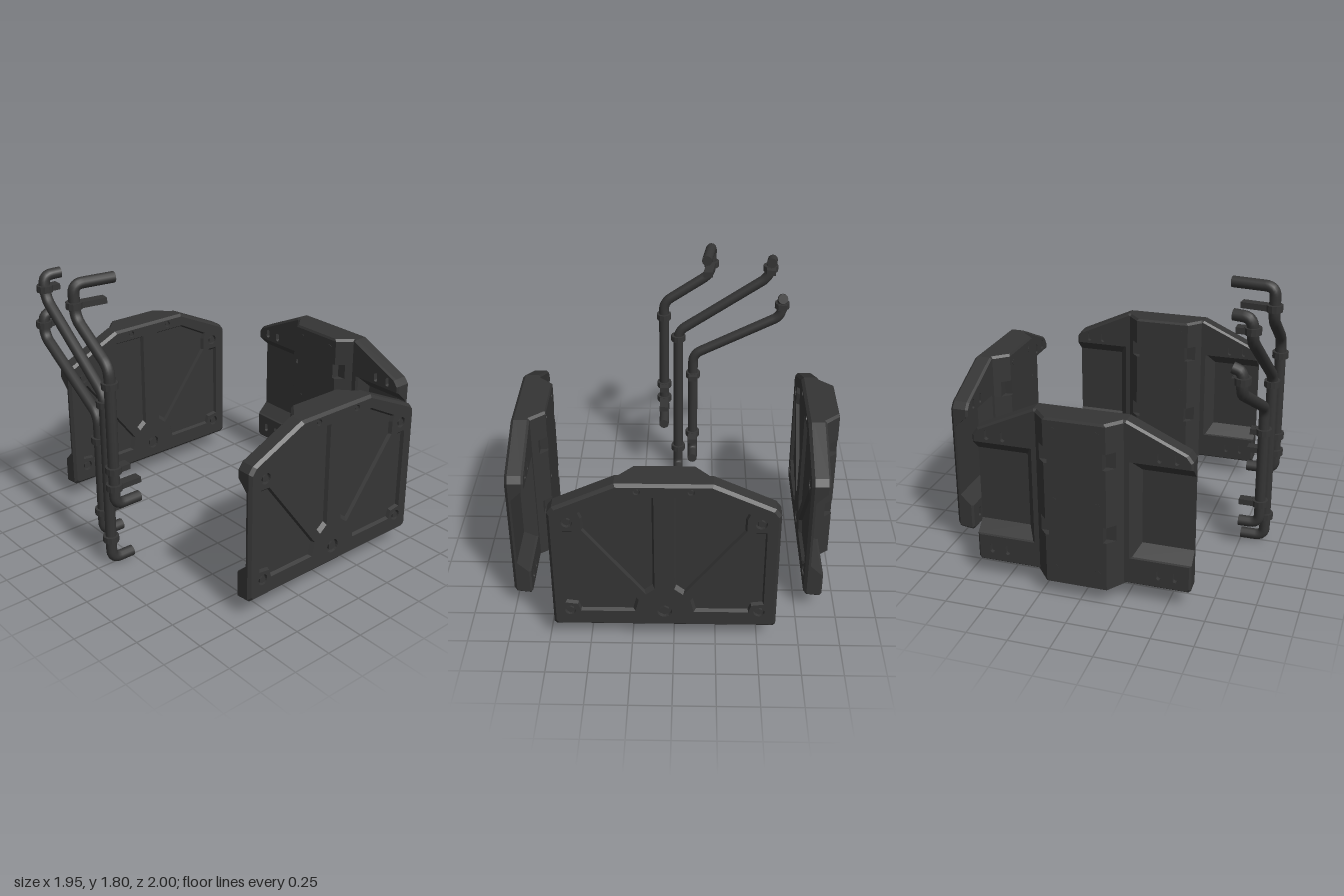
import * as THREE from 'three';
import { mergeGeometries } from 'three/addons/utils/BufferGeometryUtils.js';

const material = new THREE.MeshStandardMaterial({ color: 0x353535 });
const v2 = (x, y) => new THREE.Vector2(x, y);
const FACE = 0, MID = -0.032, BACK = -0.113, HUMP = -0.2, SIDE = 0.663;

function mesh(name, geometry, parent) {
  const m = new THREE.Mesh(geometry, material);
  m.name = name;
  parent.add(m);
  return m;
}

function fromTriangles(positions) {
  const g = new THREE.BufferGeometry();
  g.setAttribute('position', new THREE.Float32BufferAttribute(positions, 3));
  return g;
}

// Joins closed rings of [x, y, z] points into a skin
function skin(rings) {
  const p = [];
  for (let r = 0; r + 1 < rings.length; r++) {
    const a = rings[r], b = rings[r + 1], n = a.length;
    for (let i = 0; i < n; i++) {
      const j = (i + 1) % n;
      p.push(...a[i], ...a[j], ...b[j], ...a[i], ...b[j], ...b[i]);
    }
  }
  return fromTriangles(p);
}

// Flat cap in the xy plane; a back cap is turned round (outlines are symmetric in x)
function cap(points, z, holes = [], back = false) {
  const s = new THREE.Shape(points);
  s.holes = holes.map(h => new THREE.Path(h));
  const g = new THREE.ShapeGeometry(s);
  if (back) g.rotateY(Math.PI);
  return g.translate(0, 0, z);
}

function faceted(parts) {
  const g = mergeGeometries(parts.map(part => {
    const q = part.index ? part.toNonIndexed() : part;
    q.deleteAttribute('uv');
    q.deleteAttribute('normal');
    return q;
  }));
  g.computeVertexNormals();
  return g;
}

const at = (points, z) => points.map(p => [p.x, p.y, z]);
const clockwise = pts => THREE.ShapeUtils.isClockWise(pts) ? pts : [...pts].reverse();
const bottomAt = w => 0.125 + w * 0.125;

// Shield outline at depth w, optionally inset and notched by the side pockets
function outline(w, inset = 0, notched = false) {
  const b = bottomAt(w), t = (w - MID) / (BACK - MID);
  const half = [[SIDE - 0.015, b], [SIDE, b + 0.015]];
  if (notched) {
    const lo = 0.356 - 0.08 * t, hi = 0.827 + 0.08 * t, u = 0.35 - 0.05 * t;
    half.push([SIDE, lo], [u, lo], [u, hi], [SIDE, hi]);
  }
  half.push([SIDE, 0.945], [0.633, 0.985], [0.277, 1.15]);
  const right = half.map(([x, y]) => v2(x * (1 - inset / 0.66), 0.63 + (y - 0.63) * (1 - inset / 0.52)));
  return [...right, ...right.map(p => v2(-p.x, p.y)).reverse()];
}

function scaled(points, k) {
  const c = points.reduce((s, p) => s.add(p), v2(0, 0)).divideScalar(points.length);
  return points.map(p => p.clone().sub(c).multiplyScalar(k).add(c));
}

// Round hole, drawn out in height by stretch on each side
function roundHole(x, y, r, stretch = 0) {
  const pts = [];
  for (let i = 0; i < 16; i++) {
    const a = (i + 0.5) / 16 * Math.PI * 2;
    pts.push(v2(x + r * Math.cos(a), y + r * Math.sin(a) + Math.sign(Math.sin(a)) * stretch));
  }
  return clockwise(pts);
}

// Bolts of the front face: x, y, hole radius
const faceBolts = [[0, 0.24, 0.045]];
for (const s of [1, -1]) faceBolts.push([s * 0.55, 0.89, 0.034], [s * 0.56, 0.24, 0.034], [s * 0.152, 1.105, 0.02]);

// Front plate with four sunken fields between the ribs, and bolt holes
function frontPlate() {
  const upper = [[-0.487, 0.958], [-0.277, 1.068], [-0.058, 1.068], [-0.058, 0.408], [-0.11, 0.366], [-0.47, 0.838], [-0.472, 0.92]];
  const lower = [[-0.586, 0.827], [-0.524, 0.827], [-0.152, 0.325], [-0.173, 0.236], [-0.497, 0.236], [-0.513, 0.288], [-0.586, 0.298]];
  const fields = faceBolts.map(([x, y, r]) => roundHole(x, y, r));
  for (const s of [1, -1]) for (const f of [upper, lower]) fields.push(clockwise(f.map(([x, y]) => v2(s * x, y))));
  const front = outline(FACE, 0.016);
  const parts = [
    skin([at(outline(MID), MID), at(outline(-0.018), -0.018), at(front, FACE)]),
    cap(front, FACE, fields), cap(outline(MID), MID, [], true)
  ];
  for (const f of fields) {
    const floor = scaled(f, 0.95);
    parts.push(skin([at(floor, -0.022), at(f, FACE)]), cap(floor, -0.022));
  }
  return faceted(parts);
}

// Rear block with open side pockets and small slots
function rearBlock() {
  const slots = [];
  for (const s of [1, -1]) for (const x of [0.47, 0.57]) for (const y of [0.2, 0.95]) slots.push(roundHole(s * x, y, 0.014, 0.018));
  const rear = outline(BACK, 0.012, true);
  const parts = [
    skin([at(rear, BACK), at(outline(-0.1, 0, true), -0.1), at(outline(MID, 0, true), MID)]),
    cap(rear, BACK, slots, true)
  ];
  for (const s of slots) {
    parts.push(skin([at(s, BACK), at(s, -0.085)]));
    parts.push(cap(s.map(p => v2(-p.x, p.y)), -0.085, [], true));
  }
  return faceted(parts);
}

// Central hump, with square notches cut in its sloping edges
function hump() {
  const section = (y, notched, k = 1) => {
    const half = [[0.275, -0.1], [0.23, -0.15], notched ? [0.17, -0.15] : [0.185, HUMP], [0.165, HUMP]];
    const all = [...half, ...half.map(([x, z]) => [-x, z]).reverse()];
    return all.map(([x, z]) => [x * k, y ?? bottomAt(z), -0.1 + (z + 0.1) * k]);
  };
  const rings = [section(null, false)];
  for (const [lo, hi] of [[0.41, 0.51], [0.87, 0.97]])
    rings.push(section(lo, false), section(lo, true), section(hi, true), section(hi, false));
  rings.push(section(1.135, false), section(1.15, false, 0.93));
  const caps = [], low = rings[0], top = rings[rings.length - 1];
  for (let i = 1; i < top.length - 1; i++)
    caps.push(...top[0], ...top[i], ...top[i + 1], ...low[0], ...low[i + 1], ...low[i]);
  return faceted([skin(rings), fromTriangles(caps)]);
}

function createPanel() {
  const panel = new THREE.Group();
  panel.name = 'armourPanel';
  mesh('frontPlate', frontPlate(), panel);
  mesh('rearBlock', rearBlock(), panel);
  mesh('hump', hump(), panel);
  const bolt = (x, y, r, z, sides) => {
    const g = new THREE.CylinderGeometry(r, r, 0.016, sides).rotateX(Math.PI / 2);
    mesh('bolt', faceted([g]), panel).position.set(x, y, z);
  };
  for (const [x, y, r] of faceBolts) bolt(x, y, r * 0.66, -0.011, 6);
  for (const s of [1, -1]) for (const y of [0.2, 0.64, 1.08]) bolt(s * 0.13, y, 0.018, HUMP + 0.006, 10);
  return panel;
}

// Pipe through straight runs with rounded elbows and closed ends
function createPipe(points, radius = 0.034, bend = 0.06) {
  const p = points.map(a => new THREE.Vector3(...a));
  const path = new THREE.CurvePath();
  let from = p[0];
  for (let i = 1; i < p.length - 1; i++) {
    const towards = q => p[i].clone().add(q.clone().sub(p[i]).setLength(Math.min(bend, p[i].distanceTo(q) * 0.48)));
    const a = towards(p[i - 1]), b = towards(p[i + 1]);
    path.add(new THREE.LineCurve3(from, a));
    path.add(new THREE.QuadraticBezierCurve3(a, p[i], b));
    from = b;
  }
  path.add(new THREE.LineCurve3(from, p[p.length - 1]));
  const pipe = new THREE.Group();
  pipe.name = 'pipe';
  mesh('tube', new THREE.TubeGeometry(path, 120, radius, 12), pipe);
  for (const [end, next] of [[p[0], p[1]], [p[p.length - 1], p[p.length - 2]]]) {
    const c = mesh('pipeEnd', new THREE.CircleGeometry(radius, 12), pipe);
    c.position.copy(end);
    c.lookAt(end.clone().multiplyScalar(2).sub(next));
  }
  return pipe;
}

// Clamp ring, with an optional flat arm of a given length, turned by yaw
function createClamp(x, y, z, arm = 0, yaw = 0) {
  const clamp = new THREE.Group();
  clamp.name = 'clamp';
  mesh('clampRing', faceted([new THREE.CylinderGeometry(0.05, 0.05, 0.04, 12)]), clamp);
  if (arm) mesh('clampArm', new THREE.BoxGeometry(arm, 0.036, 0.06), clamp).position.x = arm / 2;
  clamp.position.set(x, y, z);
  clamp.rotation.y = yaw;
  return clamp;
}

export function createModel() {
  const model = new THREE.Group();
  model.name = 'panelAndPipeKit';

  // Three identical panels: front and back both face forward, the third faces left
  for (const [x, z, turn] of [[0.021, 1, 0], [0.021, -0.8, 0], [0.972, 0.055, Math.PI / 2]]) {
    const panel = createPanel();
    panel.position.set(x, 0, z);
    panel.rotation.y = turn;
    model.add(panel);
  }

  // Three bent pipes on the right
  const pipes = [
    [[-0.75, 0.477, 0.105], [-0.924, 0.477, 0.105], [-0.924, 1.36, 0.105], [-0.925, 1.575, -0.215], [-0.928, 1.775, -0.22], [-0.67, 1.775, -0.185]],
    [[-0.75, 0.04, 0.005], [-0.9, 0.04, 0.005], [-0.9, 1.15, 0.005], [-0.88, 1.575, -0.61], [-0.88, 1.715, -0.63], [-0.77, 1.72, -0.615]],
    [[-0.75, 0.185, -0.1], [-0.88, 0.185, -0.1], [-0.88, 0.98, -0.1], [-0.85, 1.3, -0.705], [-0.855, 1.43, -0.705], [-0.795, 1.45, -0.705]]
  ];
  for (const p of pipes) model.add(createPipe(p));

  // Clamps along the pipes
  const clamps = [
    [-0.924, 0.6, 0.105, 0.174], [-0.924, 0.715, 0.105, 0.1], [-0.924, 1.255, 0.105], [-0.926, 1.65, -0.22, 0.196, -0.135],
    [-0.9, 0.19, 0.005], [-0.9, 1.1, 0.005], [-0.88, 1.64, -0.617, 0.09],
    [-0.88, 0.33, -0.1, 0.13], [-0.88, 0.82, -0.1, 0.08], [-0.852, 1.38, -0.705, 0.057]
  ];
  for (const c of clamps) model.add(createClamp(...c));
  return model;
}
